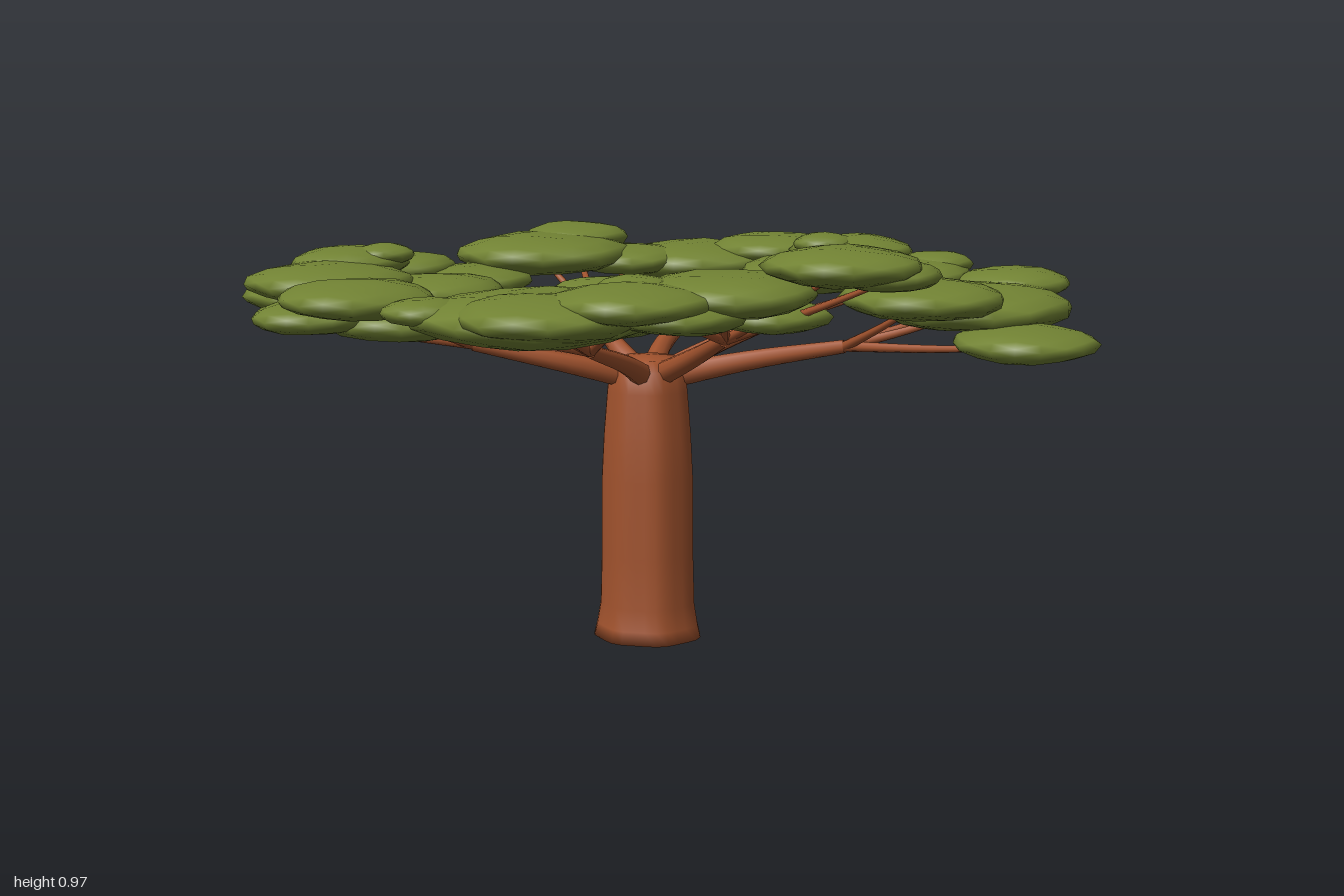
import * as THREE from 'three';
import { mergeVertices } from 'three/addons/utils/BufferGeometryUtils.js';

const bark = new THREE.MeshStandardMaterial({ color: 0xa0522d, side: THREE.DoubleSide });
const leaf = new THREE.MeshStandardMaterial({ color: 0x718233 });
const CX = -0.03, CZ = 0.01; // trunk axis

// Weld a geometry and give it smooth normals
function smooth(geometry) {
  geometry.deleteAttribute('uv');
  geometry.deleteAttribute('normal');
  const welded = mergeVertices(geometry, 1e-4);
  welded.computeVertexNormals();
  return welded;
}

// Flared, gently lobed trunk
function makeTrunk() {
  const profile = [[0, 0], [0.124, 0], [0.117, 0.03], [0.109, 0.08], [0.106, 0.2], [0.105, 0.38],
    [0.1, 0.48], [0.092, 0.58], [0.086, 0.63], [0.065, 0.655], [0, 0.66]];
  const geo = new THREE.LatheGeometry(profile.map(([r, y]) => new THREE.Vector2(r, y)), 28);
  const p = geo.attributes.position;
  for (let i = 0; i < p.count; i++) {
    const a = Math.atan2(p.getZ(i), p.getX(i));
    const k = 1 + 0.03 * Math.sin(7 * a + 0.6) + 0.015 * Math.sin(3 * a);
    p.setX(i, p.getX(i) * k);
    p.setZ(i, p.getZ(i) * k);
  }
  const mesh = new THREE.Mesh(smooth(geo), bark);
  mesh.name = 'trunk';
  mesh.position.set(CX, 0, CZ);
  return mesh;
}

// Tube along a curve, narrowing from r0 to r1
function makeLimb(name, points, r0, r1) {
  const curve = new THREE.CatmullRomCurve3(points);
  const rings = 10, sides = 8;
  const geo = new THREE.TubeGeometry(curve, rings, 1, sides, false);
  const p = geo.attributes.position, v = new THREE.Vector3();
  for (let i = 0; i <= rings; i++) {
    const centre = curve.getPointAt(i / rings);
    const r = r0 + (r1 - r0) * i / rings;
    for (let j = 0; j <= sides; j++) {
      const n = i * (sides + 1) + j;
      v.fromBufferAttribute(p, n).sub(centre).multiplyScalar(r).add(centre);
      p.setXYZ(n, v.x, v.y, v.z);
    }
  }
  const mesh = new THREE.Mesh(geo, bark);
  mesh.name = name;
  return mesh;
}

// Foliage pads carried by each bough as [x, y, z, radius];
// a crowned bough has a small cushion on its last pad
const boughs = [
  { name: 'back', pads: [
    [-0.08, 0.82, -0.55, 0.2], [-0.16, 0.765, -0.73, 0.14], [0.11, 0.85, -0.59, 0.155]] },
  { name: 'backLeft', crowned: true, pads: [
    [0.3, 0.83, -0.27, 0.18], [0.16, 0.8, -0.23, 0.125], [0.53, 0.84, -0.21, 0.14],
    [0.58, 0.86, -0.28, 0.085], [0.35, 0.87, -0.42, 0.145]] },
  { name: 'left', pads: [
    [0.71, 0.8, 0, 0.22], [0.77, 0.83, -0.21, 0.13], [0.85, 0.745, 0.16, 0.15],
    [0.63, 0.835, 0.18, 0.175]] },
  { name: 'frontLeft', pads: [
    [0.28, 0.865, 0.46, 0.19], [0.33, 0.8, 0.29, 0.13], [0.52, 0.93, 0.46, 0.16],
    [0.61, 0.91, 0.43, 0.105], [0.21, 0.83, 0.56, 0.14]] },
  { name: 'front', crowned: true, pads: [
    [-0.1, 0.815, 0.57, 0.25], [-0.07, 0.775, 0.28, 0.165], [-0.04, 0.83, 0.66, 0.19],
    [-0.3, 0.83, 0.66, 0.09], [0.13, 0.86, 0.63, 0.16]] },
  { name: 'frontRight', pads: [
    [-0.52, 0.755, 0.27, 0.175], [-0.54, 0.825, 0.47, 0.17], [-0.72, 0.83, 0.24, 0.185],
    [-0.69, 0.77, 0.38, 0.14]] },
  { name: 'right', crowned: true, pads: [
    [-0.51, 0.8, 0.09, 0.15], [-0.83, 0.775, 0.05, 0.175], [-0.82, 0.81, -0.12, 0.16],
    [-0.69, 0.83, -0.1, 0.13], [-0.73, 0.86, 0.09, 0.135]] },
  { name: 'backRight', pads: [
    [-0.41, 0.85, -0.32, 0.21], [-0.22, 0.83, -0.43, 0.14], [-0.2, 0.775, -0.2, 0.13],
    [-0.52, 0.8, -0.13, 0.14], [-0.37, 0.88, -0.46, 0.13]] },
];

// Flattened, slightly irregular leaf cushion
function makePad(name, centre, r, seed) {
  const geo = smooth(new THREE.IcosahedronGeometry(1, 2));
  const p = geo.attributes.position, v = new THREE.Vector3();
  for (let i = 0; i < p.count; i++) {
    v.fromBufferAttribute(p, i);
    const k = 1.01 + 0.03 * Math.sin(6 * v.x + seed) + 0.03 * Math.sin(7 * v.z + 2.3 * seed);
    p.setXYZ(i, v.x * k * r, v.y * k * (0.014 + 0.17 * r), v.z * k * r);
  }
  geo.computeVertexNormals();
  const mesh = new THREE.Mesh(geo, leaf);
  mesh.name = name;
  mesh.position.copy(centre);
  return mesh;
}

export function createModel() {
  const tree = new THREE.Group();
  tree.name = 'tree';
  tree.add(makeTrunk());

  const start = new THREE.Vector3(CX, 0.6, CZ);
  let seed = 0;
  for (const { name, crowned, pads } of boughs) {
    const group = new THREE.Group();
    group.name = name + 'Bough';
    const centres = pads.map(([x, y, z]) => new THREE.Vector3(x, y, z));

    // The branch heads for the middle of its pads and forks part of the way there
    const middle = new THREE.Vector3();
    centres.forEach((c) => middle.addScaledVector(c, 1 / centres.length));
    const fork = start.clone().lerp(middle, 0.6);
    fork.y -= 0.02;
    const out = fork.clone().sub(start);
    const bow = start.clone().addScaledVector(out, 0.5);
    bow.add(new THREE.Vector3(out.z * 0.05, 0.004, -out.x * 0.05));
    group.add(makeLimb('branch', [start, bow, fork], 0.03, 0.015));

    // A twig runs from the fork into each pad
    centres.forEach((centre, i) => {
      const tip = centre.clone().setY(centre.y - 0.01);
      const bend = fork.clone().lerp(tip, 0.5);
      bend.y -= 0.004;
      group.add(makeLimb('twig', [fork, bend, tip], 0.012, 0.005));
      group.add(makePad('foliagePad', centre, pads[i][3], seed += 1.7));
    });

    // Small cushion on the trunk side of the last pad
    if (crowned) {
      const last = centres.at(-1), r = pads.at(-1)[3];
      const inward = start.clone().sub(last).setY(0).setLength(0.6 * r);
      const top = last.clone().add(inward);
      top.y += 0.02;
      group.add(makePad('crownPad', top, 0.5 * r, seed += 1.7));
    }
    tree.add(group);
  }
  return tree;
}
